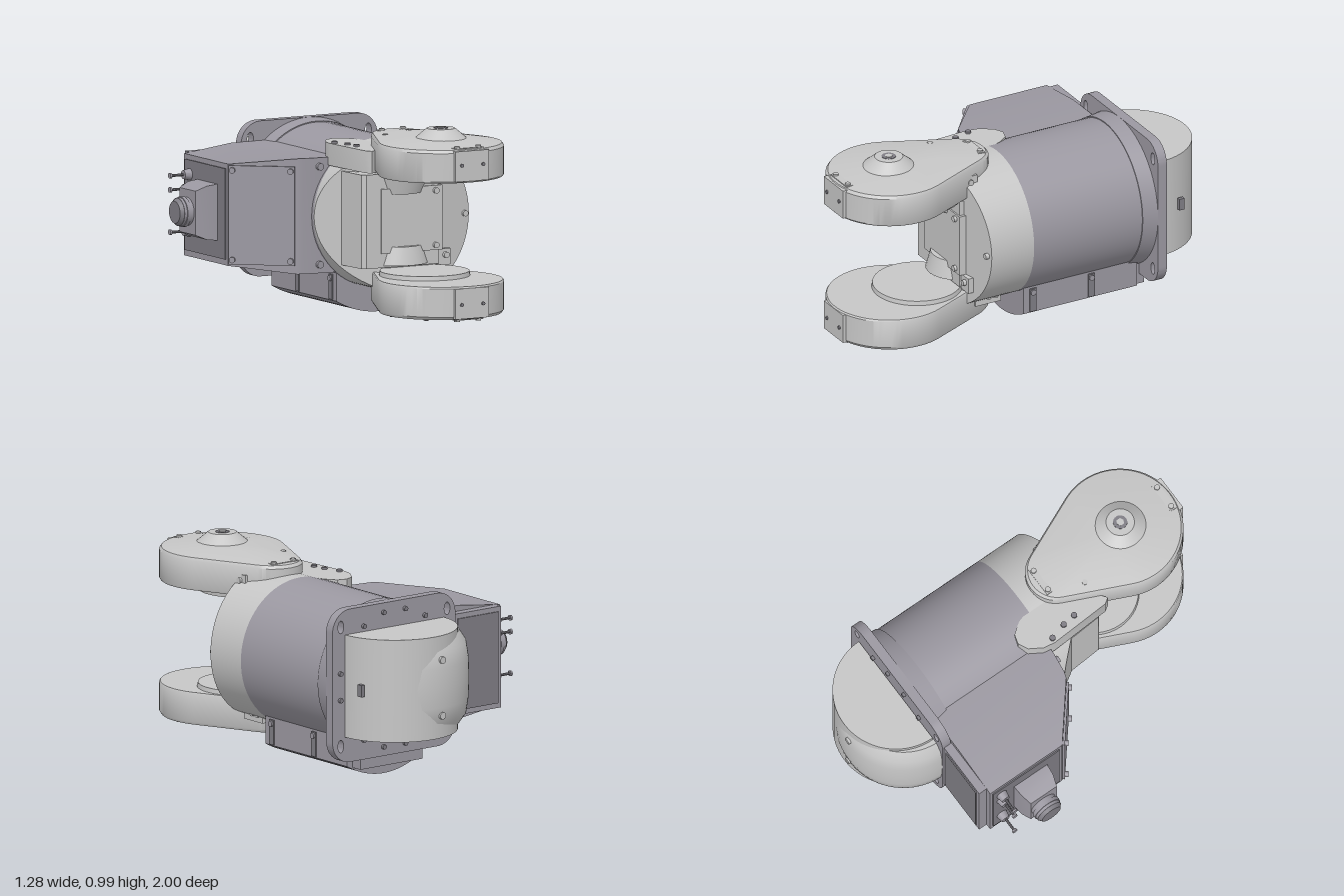
import * as THREE from 'three';
import { toCreasedNormals } from 'three/addons/utils/BufferGeometryUtils.js';

const CX = 0.245, CY = 0.5; // common axis of body, fork and drum

export function createModel() {
  const root = new THREE.Group();
  const mat = (name, color) => {
    const m = new THREE.MeshStandardMaterial({ color });
    m.name = name;
    return m;
  };
  const light = mat('light grey paint', 0xc6c6c6);
  const dark = mat('dark grey casting', 0x9b98a1);
  const trim = mat('shadow grey trim', 0x7f7d84);

  const add = (name, geo, m, parent = root) => {
    const mesh = new THREE.Mesh(toCreasedNormals(geo, 0.6), m);
    mesh.name = name;
    parent.add(mesh);
    return mesh;
  };
  const box = (name, m, x0, x1, y0, y1, z0, z1, parent) => add(name,
    new THREE.BoxGeometry(x1 - x0, y1 - y0, z1 - z0)
      .translate((x0 + x1) / 2, (y0 + y1) / 2, (z0 + z1) / 2), m, parent);
  // Cylinder along one axis; rA is the radius at the low end, rB at the high end
  const cyl = (name, m, axis, rA, rB, len, x, y, z, parent, sides = 32) => {
    const g = new THREE.CylinderGeometry(rB, rA, len, sides);
    if (axis === 'x') g.rotateZ(-Math.PI / 2);
    if (axis === 'z') g.rotateX(Math.PI / 2);
    return add(name, g.translate(x, y, z), m, parent);
  };
  const bolt = (axis, x, y, z, m = light, r = 0.015, parent = root) =>
    cyl('bolt', m, axis, r, r, 0.024, x, y, z, parent, 12);
  // Outline in x,z raised from y0 to y1
  const plan = (pts, y0, y1) => new THREE.ExtrudeGeometry(
    new THREE.Shape(pts.map(([x, z]) => new THREE.Vector2(x, -z))),
    { depth: y1 - y0, bevelEnabled: false }).rotateX(-Math.PI / 2).translate(0, y0, 0);
  // Closed solid from stacked rings of one outline; levels are [scale, y]
  const loft = (outline, [cx, cz], levels) => {
    const n = outline.length, pos = [], idx = [];
    for (const [s, y] of levels)
      for (const [x, z] of outline) pos.push(cx + (x - cx) * s, y, cz + (z - cz) * s);
    const bottom = pos.length / 3, top = bottom + 1, last = (levels.length - 1) * n;
    pos.push(cx, levels[0][1], cz, cx, levels[levels.length - 1][1], cz);
    for (let i = 0; i < n; i++) {
      const j = (i + 1) % n;
      for (let k = 0; k < last; k += n)
        idx.push(k + i, k + j, k + n + j, k + i, k + n + j, k + n + i);
      idx.push(bottom, j, i, top, last + i, last + j);
    }
    const g = new THREE.BufferGeometry();
    g.setAttribute('position', new THREE.Float32BufferAttribute(pos, 3));
    g.setIndex(idx);
    return g;
  };

  // Main barrel and its light front collar with an oblique front face
  cyl('barrel', dark, 'z', 0.37, 0.37, 0.67, CX, CY, -0.265, root, 72);
  const profile = [new THREE.Vector2(0.37, 0)];
  for (let i = 12; i >= 0; i--) profile.push(new THREE.Vector2(0.37 * i / 12, 0.3));
  const collar = new THREE.LatheGeometry(profile, 72).rotateX(Math.PI / 2).translate(CX, CY, 0.07);
  const cp = collar.attributes.position;
  for (let i = 0; i < cp.count; i++) {
    const x = cp.getX(i);
    if (cp.getZ(i) > 0.1)
      cp.setZ(i, Math.min(0.36, 0.31 + 0.2 * (0.61 - x), 0.075 + 1.2 * (x + 0.125)));
  }
  add('frontCollar', collar, light);
  add('forkWeb', plan([[-0.04, 0.1], [-0.02, 0.36], [0, 0.375], [0.41, 0.375], [0.41, 0.1]], 0.27, 0.735), light);
  box('frontPanel', light, 0.08, 0.425, 0.34, 0.66, 0.3, 0.383);
  for (const y of [0.365, 0.635]) bolt('z', 0.385, y, 0.385);
  bolt('z', 0.585, CY, 0.32);
  box('lowerLug', light, 0.41, 0.48, 0.26, 0.34, 0.3, 0.365);
  bolt('z', 0.45, 0.31, 0.37);
  cyl('upperBoss', light, 'y', 0.135, 0.16, 0.09, 0.22, 0.675, 0.275);
  cyl('lowerBoss', light, 'y', 0.16, 0.135, 0.09, 0.22, 0.325, 0.275);

  // Fork arms: teardrop housings, the lower one turned over
  const tear = [];
  for (let i = 0; i <= 44; i++) {
    const a = THREE.MathUtils.degToRad(-204 + 228 * i / 44);
    tear.push([CX + 0.31 * Math.cos(a), 0.68 - 0.31 * Math.sin(a)]);
  }
  for (let i = 0; i <= 16; i++) {
    const a = THREE.MathUtils.degToRad(24 + 132 * i / 16);
    tear.push([CX + 0.15 * Math.cos(a), 0.29 - 0.15 * Math.sin(a)]);
  }
  for (const upper of [true, false]) {
    const arm = new THREE.Group();
    arm.name = upper ? 'upperArm' : 'lowerArm';
    add('armHousing', loft(tear, [CX, 0.6],
      [[0.985, 0.757], [1, 0.765], [1, 0.905], [0.97, 0.92], [0.45, 0.945]]), light, arm);
    cyl('innerDisc', light, 'y', 0.22, 0.225, 0.03, CX, 0.75, 0.52, arm, 48);
    box('frontPad', light, 0.15, 0.34, 0.765, 0.915, 0.9, 0.992, arm);
    for (const x of [0.185, 0.305]) {
      bolt('z', x, 0.845, 0.987, trim, 0.009, arm);
      for (const z of [0.2, 0.945]) bolt('y', x, 0.922, z, light, 0.014, arm);
    }
    for (const z of [0.2, 0.945]) box('slotPad', light, 0.165, 0.325, 0.9, 0.926, z - 0.018, z + 0.018, arm);
    if (upper) {
      cyl('hubCone', light, 'y', 0.135, 0.07, 0.055, CX, 0.9625, 0.68, arm);
      cyl('hubRecess', trim, 'y', 0.035, 0.035, 0.004, CX, 0.99, 0.68, arm, 24);
      cyl('hubScrew', light, 'y', 0.02, 0.02, 0.008, CX, 0.99, 0.68, arm, 6);
      bolt('y', 0.11, 0.92, 0.37, light, 0.014, arm);
    } else {
      for (let i = 0; i < 5; i++) {
        const a = Math.PI * i / 4;
        bolt('y', CX + 0.27 * Math.cos(a), 0.915, 0.68 + 0.27 * Math.sin(a), trim, 0.014, arm);
      }
      arm.rotation.z = Math.PI;
      arm.position.set(2 * CX, 2 * CY, 0);
    }
    root.add(arm);
  }
  // Brackets tying the arms to the collar
  box('upperBracket', light, 0.3, 0.42, 0.76, 0.865, 0.28, 0.43);
  box('lowerBracket', light, 0.3, 0.42, 0.145, 0.22, 0.145, 0.29);
  for (const y of [0.79, 0.835]) bolt('x', 0.42, y, 0.32);
  for (const z of [0.18, 0.22]) bolt('x', 0.42, 0.185, z);
  add('sideEar', plan([[-0.04, 0.08], [-0.03, 0.02], [0.01, -0.045], [0.06, -0.07], [0.11, -0.055],
    [0.15, 0], [0.18, 0.09], [0.17, 0.3], [0, 0.43], [-0.02, 0.4]], 0.75, 0.86), light);
  for (const [x, z] of [[-0.015, 0.085], [0.01, 0.17], [0.02, 0.24]]) bolt('y', x, 0.858, z, trim);

  // Mounting flange with slotted corners
  cyl('flangeRing', dark, 'z', 0.385, 0.375, 0.08, CX, CY, -0.58, root, 72);
  const w = 0.385, r = 0.11, plate = new THREE.Shape();
  plate.absarc(w - r, w - r, r, 0, Math.PI / 2);
  plate.absarc(r - w, w - r, r, Math.PI / 2, Math.PI);
  plate.absarc(r - w, r - w, r, Math.PI, Math.PI * 1.5);
  plate.absarc(w - r, r - w, r, Math.PI * 1.5, Math.PI * 2);
  for (const sx of [-1, 1]) for (const sy of [-1, 1]) {
    const slot = new THREE.Path();
    slot.absellipse(sx * 0.333, sy * 0.3, 0.018, 0.032, 0, Math.PI * 2);
    plate.holes.push(slot);
  }
  add('flangePlate', new THREE.ExtrudeGeometry(plate, { depth: 0.05, bevelEnabled: false, curveSegments: 10 })
    .translate(CX, CY, -0.67), dark);
  for (let i = 0; i < 16; i++) {
    const a = Math.PI * (i + 0.5) / 8;
    bolt('z', CX + 0.345 * Math.cos(a), CY + 0.345 * Math.sin(a), -0.672, trim, 0.012);
  }

  // Rear wrist drum with its bulging shell
  add('rearDrum', new THREE.CylinderGeometry(0.31, 0.31, 0.515, 48, 1, false, Math.PI / 2, Math.PI)
    .translate(CX, 0.5025, -0.675), light);
  const shell = [[0, 0.27], [0.29, 0.27], [0.325, 0.32], [0.337, 0.4], [0.34, 0.5], [0.337, 0.6], [0.325, 0.68],
    [0.29, 0.735], [0, 0.735]].map(([a, b]) => new THREE.Vector2(a, b));
  add('drumShell', new THREE.LatheGeometry(shell, 40, Math.PI / 2, Math.PI).translate(0.2, 0, -0.66), light);
  box('drumLatch', trim, 0.54, 0.56, 0.47, 0.53, -0.81, -0.78);
  for (const y of [0.36, 0.64]) bolt('z', 0.2, y, -0.99, light, 0.018);

  // Connector housing on the side, thinner towards its outer face
  const housing = plan([[-0.465, -0.615], [-0.465, -0.18], [-0.2, 0.035], [-0.17, 0.045], [-0.05, 0.06],
    [0.1, 0.06], [0.1, -0.615], [-0.2, -0.615]], -1, 1);
  const hp = housing.attributes.position;
  for (let i = 0; i < hp.count; i++) {
    const t = THREE.MathUtils.clamp((hp.getX(i) + 0.465) / 0.265, 0, 1);
    hp.setY(i, 0.503 + Math.sign(hp.getY(i)) * (0.252 + 0.034 * t));
  }
  housing.computeVertexNormals();
  add('connectorHousing', housing, dark);
  const cover = new THREE.Group();
  cover.name = 'slopedCover';
  box('coverPlate', dark, -0.165, 0.165, -0.245, 0.245, 0, 0.012, cover);
  for (const x of [-0.145, 0.145]) for (const y of [-0.222, 0.222]) bolt('z', x, y, 0.016, dark, 0.015, cover);
  cover.position.set(-0.335, 0.505, -0.073);
  cover.rotation.y = -0.682;
  root.add(cover);
  for (const y of [0.26, 0.745]) bolt('z', -0.085, y, 0.06, dark, 0.018);
  box('rearCover', dark, -0.435, -0.13, 0.25, 0.76, -0.66, -0.61);
  box('rearCoverPlate', trim, -0.415, -0.16, 0.275, 0.735, -0.666, -0.66);
  box('sidePlate', trim, -0.471, -0.465, 0.28, 0.73, -0.6, -0.2);

  // Main plug and small fittings
  const square = [[-0.1, -0.14], [-0.1, 0.14], [0.1, 0.14], [0.1, -0.14]];
  add('mainPlug', loft(square, [0, 0], [[1, 0], [0.95, 0.06], [0.78, 0.115]]).rotateZ(Math.PI / 2)
    .rotateX(Math.PI / 2).translate(-0.467, 0.505, -0.375), dark);
  cyl('plugNeck', dark, 'x', 0.07, 0.07, 0.06, -0.605, 0.505, -0.38);
  cyl('plugCollar', dark, 'x', 0.075, 0.075, 0.02, -0.61, 0.505, -0.38);
  cyl('plugTip', trim, 'x', 0.055, 0.07, 0.02, -0.643, 0.505, -0.38);
  for (const [y, z] of [[0.66, -0.55], [0.59, -0.55], [0.38, -0.55]]) {
    cyl('fittingBase', dark, 'x', 0.022, 0.03, 0.04, -0.487, y, z, root, 16);
    cyl('fittingStem', trim, 'x', 0.007, 0.007, 0.08, -0.54, y, z, root, 8);
    cyl('fittingHead', dark, 'x', 0.014, 0.014, 0.01, -0.58, y, z, root, 12);
  }

  // Rounded belly cover below the barrel
  const belly = new THREE.Shape();
  belly.moveTo(0.015, 0.28);
  belly.lineTo(0.015, 0.07);
  belly.quadraticCurveTo(CX, -0.06, 0.475, 0.07);
  belly.lineTo(0.475, 0.28);
  add('bellyCover', new THREE.ExtrudeGeometry(belly, { depth: 0.64, bevelEnabled: false, curveSegments: 20 })
    .translate(0, 0, -0.59), dark);
  box('bellyEnd', dark, 0.05, 0.44, 0.06, 0.25, -0.65, -0.58);
  for (const x of [0.013, 0.477]) for (const z of [0, -0.33]) {
    box('bellyRib', trim, x - 0.004, x + 0.004, 0.075, 0.2, z - 0.018, z + 0.018);
    bolt('x', x, 0.18, z, dark);
  }
  return root;
}
